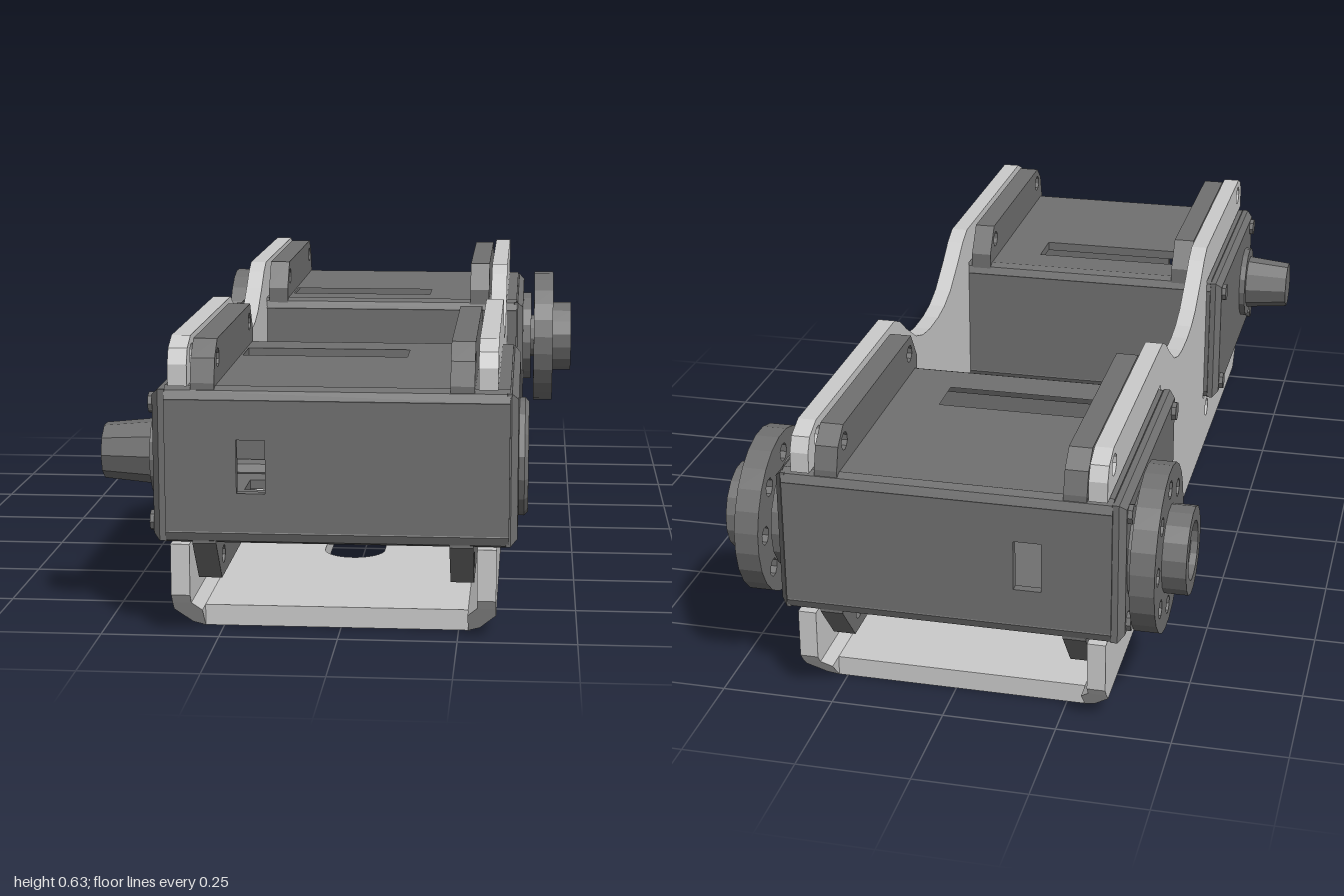
import * as THREE from 'three';

const LIGHT = new THREE.MeshStandardMaterial({ color: 0xcccccc, flatShading: true });
const DARK = new THREE.MeshStandardMaterial({ color: 0x707070, flatShading: true });
const MID = 0.015, AXIS_Y = 0.366, AXIS_Z = 0.825;

const polygon = (pts) => new THREE.Shape(pts.map(([a, b]) => new THREE.Vector2(a, b)));
const rect = (a0, a1, b0, b1) => polygon([[a0, b0], [a1, b0], [a1, b1], [a0, b1]]);
const ngon = (a, b, r, n = 12) => polygon(Array.from({ length: n }, (_, i) => {
  const t = (i + 0.5) * 2 * Math.PI / n;
  return [a + r * Math.cos(t), b + r * Math.sin(t)];
}));

function extrude(shape, holes, depth, bevel = 0) {
  shape.holes.push(...holes);
  return new THREE.ExtrudeGeometry(shape, {
    depth: depth - 2 * bevel, bevelEnabled: bevel > 0, bevelThickness: bevel,
    bevelSize: bevel, bevelOffset: -bevel, bevelSegments: 1, curveSegments: 8,
  }).translate(0, 0, bevel);
}
// Plate drawn in (z, y), thick along x
const sidePlate = (shape, x0, x1, holes = [], bevel = 0) =>
  extrude(shape, holes, x1 - x0, bevel).rotateY(-Math.PI / 2).translate(x1, 0, 0);
// Plate drawn in (x, z), thick along y
const flatPlate = (shape, y0, y1, holes = []) =>
  extrude(shape, holes, y1 - y0).rotateX(Math.PI / 2).translate(0, y1, 0);

function add(group, name, geometry, material = DARK) {
  const mesh = new THREE.Mesh(geometry, material);
  mesh.name = name;
  group.add(mesh);
}
const rod = (r, x0, x1, y, z, n = 12, rEnd = r) =>
  new THREE.CylinderGeometry(rEnd, r, x1 - x0, n).rotateZ(-Math.PI / 2).translate((x0 + x1) / 2, y, z);

function buildBracket() {
  const g = new THREE.Group();
  g.name = 'bracket';
  // Half outline of a side plate: notch for the motor, rounded corner, dip in the top edge
  const half = [[0.965, 0.07], [0.98, 0.09], [0.98, 0.2], [0.35, 0.2], [0.35, 0.535], [0.98, 0.535],
    [0.98, 0.58], [0.965, 0.612], [0.92, 0.632], [0.335, 0.632], [0.29, 0.612], [0.24, 0.575],
    [0.16, 0.525], [0.1, 0.505], [0.04, 0.497]];
  const outline = [...half, ...half.map(([z, y]) => [-z, y]).reverse()];
  for (const x of [-0.35, 0.29]) {
    const holes = [-1, 1].flatMap((s) => [ngon(s * 0.91, 0.59, 0.024), ngon(s * 0.415, 0.15, 0.024)]);
    add(g, 'sidePlate', sidePlate(polygon(outline), x, x + 0.04, holes), LIGHT);
  }
  // Bottom plate with a long rounded slot
  const slot = new THREE.Shape();
  slot.absarc(-0.01, 0.42, 0.07, 0, Math.PI);
  slot.absarc(-0.01, -0.42, 0.07, Math.PI, 2 * Math.PI);
  add(g, 'bottomPlate', flatPlate(rect(-0.295, 0.275, -0.9, 0.9), 0.003, 0.048, [slot]), LIGHT);
  // Sloping folds joining bottom and sides, shorter toward the bottom
  for (const s of [-1, 1]) {
    const fold = polygon([[0.28, 0.003], [0.305, 0.012], [0.34, 0.05], [0.34, 0.07], [0.3, 0.07], [0.28, 0.048]]
      .map(([x, y]) => [s * x - 0.01, y]));
    const geo = extrude(fold, [], 1.93).translate(0, 0, -0.965);
    const p = geo.attributes.position;
    for (let i = 0; i < p.count; i++) p.setZ(i, p.getZ(i) * (1 - (0.07 - p.getY(i)) * 1.0));
    geo.computeVertexNormals();
    add(g, 'fold', geo, LIGHT);
  }
  return g;
}

// Motor case; s = 1 for the front one, -1 for the back one
function buildMotor(s) {
  const g = new THREE.Group();
  g.name = s > 0 ? 'frontMotor' : 'backMotor';
  const z0 = 0.35, z1 = 0.978, c = 0.025;
  // Hollow case: slotted top and bottom, end walls, chamfered long edges
  for (const y of [0.2, 0.51]) {
    add(g, 'slottedCover', flatPlate(rect(-0.36, 0.355, s * (z0 + c), s * (z1 - c)), y, y + 0.022,
      [rect(-0.25, 0.12, s * 0.465, s * 0.565)]));
  }
  for (const z of [z0, z1 - 0.02]) {
    const holes = z > z0 ? [rect(-0.21, -0.15, 0.31, 0.423)] : [];
    const wall = extrude(rect(-0.36, 0.355, 0.2 + c, 0.532 - c), holes, 0.02);
    add(g, 'endWall', wall.translate(0, 0, s * (z + 0.01) - 0.01));
  }
  for (const z of [z0 + c, z1 - c]) {
    for (const y of [0.2 + c, 0.532 - c]) {
      add(g, 'caseEdge', rod(c * 1.04, -0.36, 0.355, y, s * z, 8));
    }
  }
  // Bevelled end caps
  const cap = () => rect(s * (z0 + 0.005), s * (z1 - 0.005), 0.205, 0.527);
  add(g, 'endCap', sidePlate(cap(), -0.387, -0.345, [], 0.014));
  add(g, 'endCap', sidePlate(cap(), 0.335, 0.372, [], 0.014));
  for (const z of [z0 + 0.045, z1 - 0.045]) {
    for (const y of [0.24, 0.492]) add(g, 'capScrew', rod(0.022, -0.397, -0.38, y, s * z, 8));
  }
  // Mounting ears above and below the case
  const ear = [[0.355, 0.17], [0.4, 0.105], [0.89, 0.105], [0.97, 0.2], [0.97, 0.54], [0.955, 0.59],
    [0.915, 0.625], [0.4, 0.625], [0.355, 0.56]];
  const bands = [ear.filter((p) => p[1] < 0.3).concat([[0.97, 0.215], [0.355, 0.215]]),
    ear.filter((p) => p[1] > 0.3).concat([[0.355, 0.518], [0.97, 0.518]])];
  for (const x of [-0.305, 0.232]) {
    bands.forEach((band, i) => {
      const holes = [0.415, i ? 0.91 : 0.86].map((z) => ngon(s * z, i ? 0.585 : 0.15, 0.02, 10));
      add(g, 'mountingEar', sidePlate(polygon(band.map(([z, y]) => [s * z, y])), x, x + 0.05, holes));
    });
  }
  return g;
}

// Round output horn with eight holes and a hub; side = 1 on +x, -1 on -x
function buildHorn(side) {
  const g = new THREE.Group();
  g.name = side > 0 ? 'leftHorn' : 'rightHorn';
  const z = -AXIS_Z, y = AXIS_Y;
  const span = (a, b) => (side > 0 ? [a, b] : [-b, -a]);
  const holes = Array.from({ length: 8 }, (_, i) =>
    ngon(z + 0.137 * Math.cos(i * Math.PI / 4), y + 0.137 * Math.sin(i * Math.PI / 4), 0.021, 8));
  add(g, 'hornDisc', sidePlate(ngon(z, y, 0.184, 24), ...span(0.402, 0.455), holes));
  add(g, 'hornHub', sidePlate(ngon(z, y, 0.097, 16), ...span(0.45, 0.507), [ngon(z, y, 0.065, 16)]));
  add(g, 'hornScrew', sidePlate(ngon(z, y, 0.065, 16), ...span(0.45, 0.492), [ngon(z, y, 0.034, 6)]));
  add(g, 'hornShaft', rod(0.06, ...span(0.36, 0.41), y, z));
  add(g, 'hornCollar', rod(0.125, ...span(0.365, 0.394), y, z, 16));
  return g;
}

export function createModel() {
  const model = new THREE.Group();
  model.name = 'dualMotorBracket';
  const body = new THREE.Group();
  body.name = 'assembly';
  body.position.z = MID;
  body.add(buildBracket(), buildMotor(1), buildMotor(-1), buildHorn(1), buildHorn(-1));

  // Front motor: hex-recessed boss on one side, output knob on the other
  const [y, z] = [AXIS_Y, AXIS_Z];
  add(body, 'boss', sidePlate(ngon(z, y, 0.125, 16), 0.365, 0.393, [ngon(z, y, 0.07, 6)], 0.008));
  add(body, 'knobCollar', rod(0.095, -0.402, -0.38, y, z, 16));
  add(body, 'knob', rod(0.06, -0.512, -0.39, y, z, 10, 0.072));
  model.add(body);
  return model;
}
